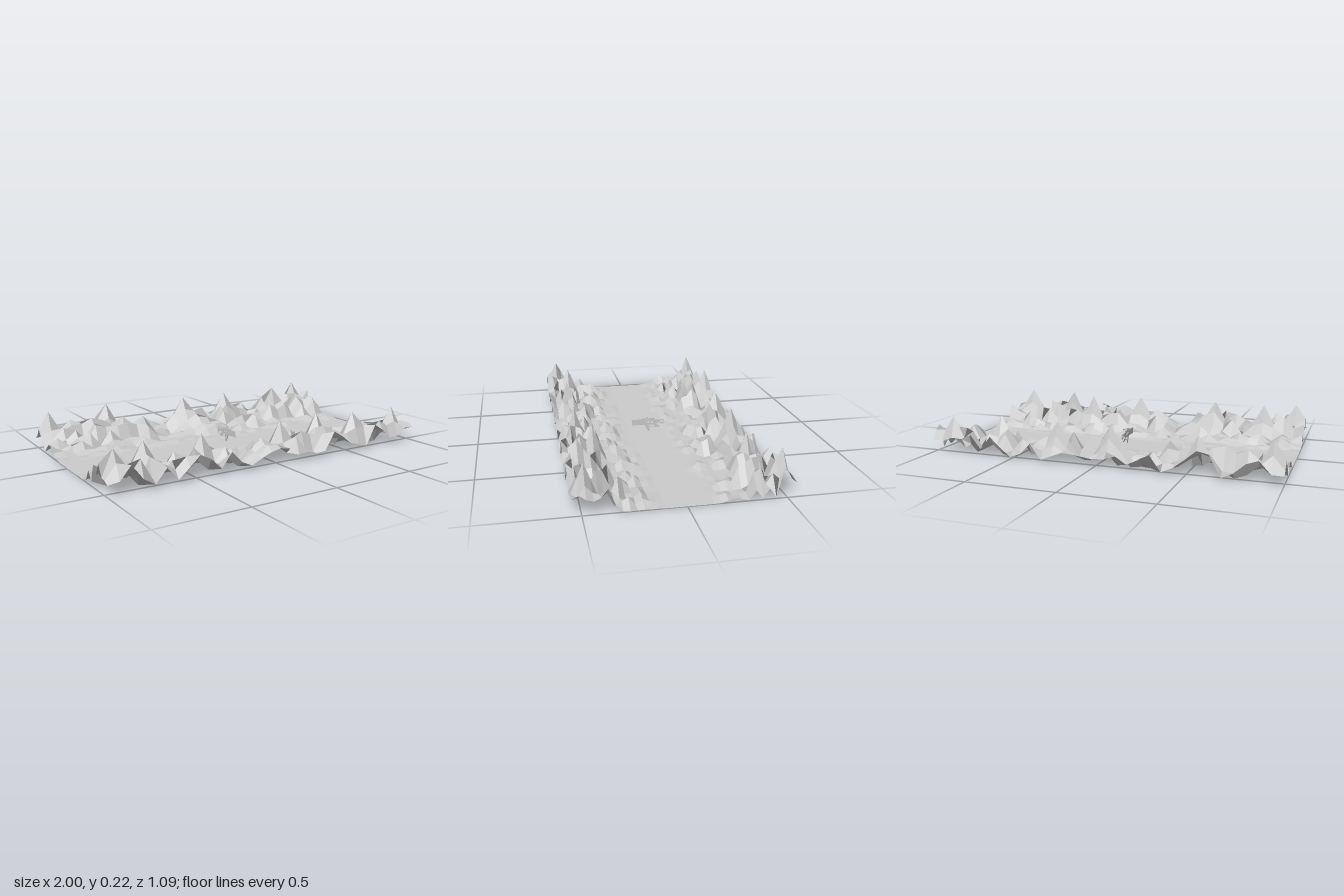
import * as THREE from 'three';

const WIDTH = 2, DEPTH = 1.09, HALF = 16, PEAK = 0.215;
const DX = WIDTH / (2 * HALF), DZ = DEPTH / (2 * HALF);

// Summits as [column, row] counted in cells from the centre
const SUMMITS = [
  [-15, 14], [-12, 12], [-7, 13], [1, 13], [6, 11], [9, 14], [14, 14],
  [-15, -14], [-9, -15], [-1, -13], [4, -13], [10, -12], [14, -15],
];

function noise(i, j) {
  const s = Math.sin(i * 127.1 + j * 311.7) * 43758.5453;
  return s - Math.floor(s);
}

// Flat floor, sparse foothills, then rough mountains with marked summits
function terrainHeight(i, j) {
  const x = i * DX, z = Math.abs(j * DZ);
  const slope = Math.min(0.155, Math.max(0, (z - 0.12) * 0.58));
  const sparse = THREE.MathUtils.mapLinear(Math.min(z, 0.4), 0.12, 0.4, 4, 1.2);
  const pass = 1 - 0.65 * Math.exp(-(((x + 0.2) / 0.08) ** 2));
  let h = slope * pass * noise(i, j) ** sparse;
  for (const [a, b] of SUMMITS) {
    const d = Math.hypot(i - a, (j - b) * 0.8);
    h = Math.max(h, PEAK * (1 - 0.5 * d) * (d ? 0.7 + 0.5 * noise(j, i) : 1));
  }
  return h;
}

// One row of separate four-cornered facets, each with one normal
function rowGeometry(j) {
  const positions = [], normals = [], index = [];
  const corner = (i, row) => new THREE.Vector3(i * DX, terrainHeight(i, row), row * DZ);
  for (let i = -HALF; i < HALF; i++) {
    const a = corner(i, j), b = corner(i, j + 1), c = corner(i + 1, j + 1), d = corner(i + 1, j);
    const n = c.clone().sub(a).cross(d.clone().sub(b)).normalize();
    const k = positions.length / 3;
    for (const v of [a, b, c, d]) {
      positions.push(v.x, v.y, v.z);
      normals.push(n.x, n.y, n.z);
    }
    index.push(k, k + 1, k + 2, k, k + 2, k + 3);
  }
  const g = new THREE.BufferGeometry();
  g.setAttribute('position', new THREE.Float32BufferAttribute(positions, 3));
  g.setAttribute('normal', new THREE.Float32BufferAttribute(normals, 3));
  g.setIndex(index);
  return g;
}

function part(name, geometry, material, parent) {
  const mesh = new THREE.Mesh(geometry, material);
  mesh.name = name;
  parent.add(mesh);
}

function group(name, parent) {
  const g = new THREE.Group();
  g.name = name;
  parent.add(g);
  return g;
}

function polygon(points, Type = THREE.Shape) {
  return new Type(points.map(([u, v]) => new THREE.Vector2(u, v)));
}

// Outline in (z, y), extruded along x and centred
function plate(points, thickness, holes = []) {
  const shape = polygon(points);
  shape.holes = holes.map((h) => polygon(h, THREE.Path));
  const g = new THREE.ExtrudeGeometry(shape, { depth: thickness, bevelEnabled: false });
  g.translate(0, 0, -thickness / 2);
  g.rotateY(-Math.PI / 2);
  return g;
}

function box(z0, z1, y0, y1, thickness) {
  return new THREE.BoxGeometry(thickness, y1 - y0, z1 - z0)
    .translate(0, (y0 + y1) / 2, (z0 + z1) / 2);
}

export function createModel() {
  const model = new THREE.Group();
  model.name = 'valleyScene';
  const ground = new THREE.MeshStandardMaterial({ color: 0xcccccc, side: THREE.DoubleSide });
  const metal = new THREE.MeshStandardMaterial({ color: 0xcccccc, flatShading: true });

  // Faceted valley with a mountain range along each side
  const terrain = group('terrain', model);
  for (let j = -HALF; j < HALF; j++) part('terrainRow', rowGeometry(j), ground, terrain);

  // Hovering rifle, muzzle towards +z
  const rifle = group('rifle', model);
  part('receiver', plate(
    [[0.086, 0.053], [0.01, 0.053], [-0.03, 0.05], [-0.045, 0.06], [-0.045, 0.085], [0.03, 0.088], [0.086, 0.088]],
    0.005,
    [[[-0.004, 0.066], [-0.004, 0.077], [-0.018, 0.077], [-0.018, 0.066]],
      [[-0.026, 0.06], [-0.026, 0.074], [-0.038, 0.074], [-0.038, 0.064]]],
  ), metal, rifle);
  part('stock', plate(
    [[-0.045, 0.06], [-0.075, 0.062], [-0.094, 0.052], [-0.104, 0.053], [-0.104, 0.081], [-0.045, 0.081]],
    0.004,
    [[[-0.08, 0.066], [-0.08, 0.075], [-0.098, 0.075], [-0.098, 0.059]]],
  ), metal, rifle);
  for (const y of [0.058, 0.071, 0.084]) {
    part('barrel', box(0.08, 0.092, y - 0.004, y + 0.004, 0.004), metal, rifle);
  }
  part('topRail', box(-0.05, 0.035, 0.086, 0.092, 0.003), metal, rifle);
  part('sight', box(-0.006, 0.006, 0.092, 0.102, 0.003), metal, rifle);
  part('magazine', plate([[0.016, 0.054], [-0.008, 0.054], [-0.02, 0.014], [-0.008, 0.01]], 0.004), metal, rifle);
  part('grip', plate([[-0.035, 0.054], [-0.05, 0.062], [-0.08, 0.038], [-0.07, 0.03]], 0.004), metal, rifle);
  part('triggerGuard', plate(
    [[-0.012, 0.054], [-0.018, 0.036], [-0.06, 0.034], [-0.045, 0.054]], 0.003,
    [[[-0.017, 0.051], [-0.021, 0.04], [-0.049, 0.038], [-0.04, 0.051]]],
  ), metal, rifle);
  for (let k = 0; k < 5; k++) {
    part('sideVent', box(0.01 + k * 0.013, 0.018 + k * 0.013, 0.07, 0.074, 0.006), metal, rifle);
  }

  return model;
}
